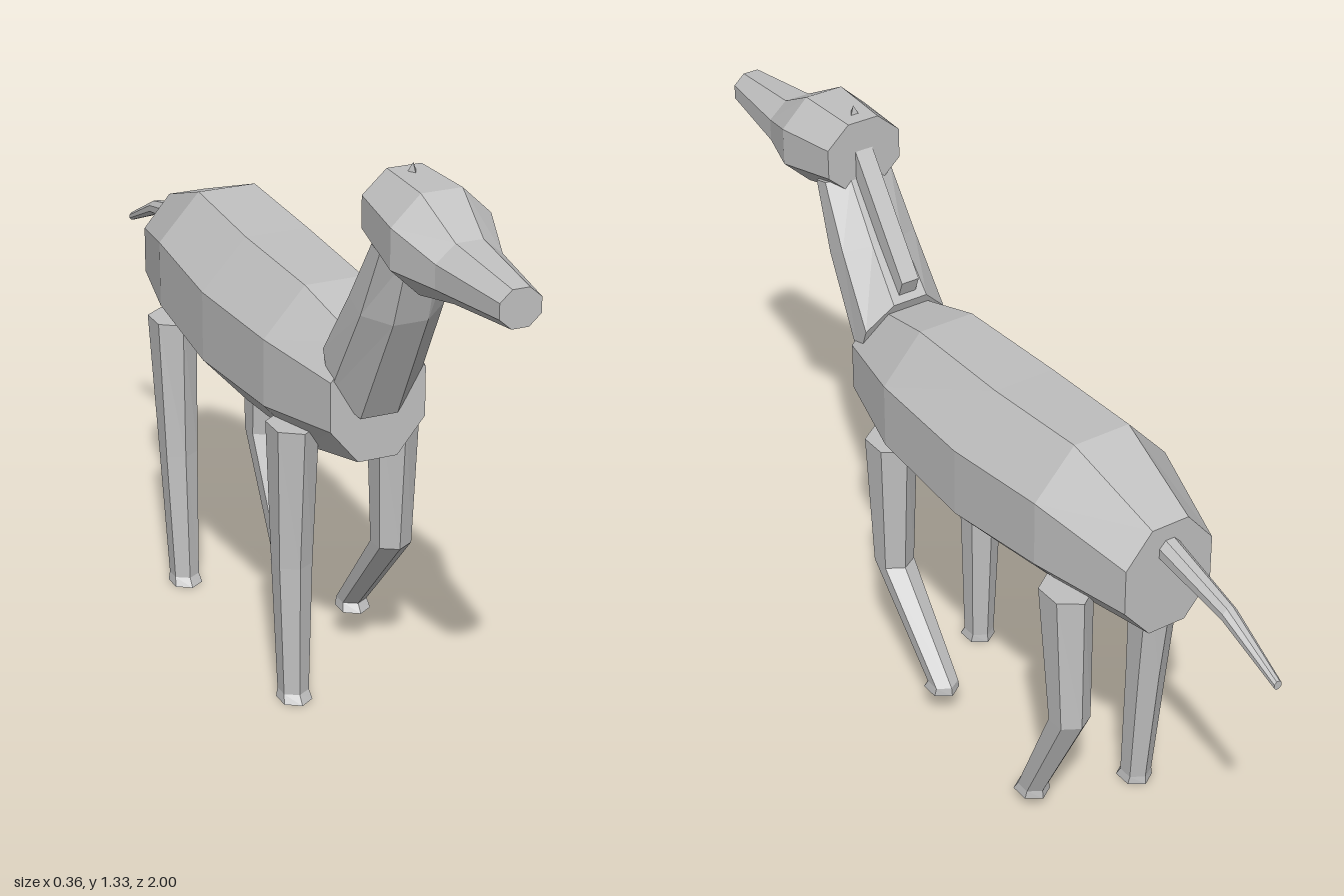
import * as THREE from 'three';

const coat = new THREE.MeshStandardMaterial({ color: 0xc0c0c0, flatShading: true });
coat.name = 'grey coat';

// Skin a list of rings (arrays of Vector3) with flat caps, faces turned outwards
function loft(name, rings) {
  const tris = [];
  const n = rings[0].length;
  for (let r = 0; r < rings.length - 1; r++) {
    for (let i = 0; i < n; i++) {
      const j = (i + 1) % n;
      const a = rings[r][i], b = rings[r][j], c = rings[r + 1][j], d = rings[r + 1][i];
      tris.push([a, b, c], [a, c, d]);
    }
  }
  const first = rings[0], last = rings[rings.length - 1];
  for (let i = 1; i < n - 1; i++) {
    tris.push([first[0], first[i + 1], first[i]], [last[0], last[i], last[i + 1]]);
  }
  // A negative enclosed volume means the winding is inside out
  const cross = new THREE.Vector3();
  let volume = 0;
  for (const [a, b, c] of tris) volume += a.dot(cross.crossVectors(b, c));
  const points = tris.flatMap(([a, b, c]) => (volume < 0 ? [a, c, b] : [a, b, c]));
  const geometry = new THREE.BufferGeometry().setFromPoints(points);
  geometry.computeVertexNormals();
  const mesh = new THREE.Mesh(geometry, coat);
  mesh.name = name;
  return mesh;
}

// Flat-topped octagon: half width w across x, half height along the vector (hy, hz)
function octagon(y, z, w, hy, hz = 0) {
  const k = 1 / Math.cos(Math.PI / 8);
  return Array.from({ length: 8 }, (_, i) => {
    const a = (i + 0.5) * Math.PI / 4;
    const u = Math.cos(a) * k, v = Math.sin(a) * k;
    return new THREE.Vector3(u * w, y + v * hy, z + v * hz);
  });
}

// Level hexagon with a corner facing forwards
function hexagon(x, y, z, w, d) {
  return Array.from({ length: 6 }, (_, i) => {
    const a = i * Math.PI / 3;
    return new THREE.Vector3(x + Math.sin(a) / 0.866 * w, y, z + Math.cos(a) * d);
  });
}

// Leg from hip to knee to ankle, ending in a small flared hoof
function leg(name, x, hipZ, knee, ankle, soleY) {
  return loft(name, [
    hexagon(x, 0.66, hipZ, 0.048, 0.067),
    hexagon(x, knee.y, knee.z, 0.039, 0.046),
    hexagon(x, ankle.y, ankle.z, 0.03, 0.036),
    hexagon(x, soleY, ankle.z + 0.006, 0.034, 0.045),
  ]);
}

export function createModel() {
  const model = new THREE.Group();
  model.name = 'animal';

  // Barrel body: z, bottom, top, half width
  const body = [
    [0.4, 0.625, 0.895, 0.11], [0.18, 0.58, 0.95, 0.165], [-0.12, 0.57, 0.96, 0.18],
    [-0.4, 0.605, 0.975, 0.168], [-0.64, 0.63, 0.89, 0.11],
  ];
  const head = [
    [1, 1.14, 1.22, 0.045], [0.79, 1.118, 1.243, 0.073],
    [0.67, 1.097, 1.308, 0.11], [0.505, 1.14, 1.308, 0.093],
  ];
  const fromProfile = ([z, low, high, w]) => octagon((low + high) / 2, z, w, (high - low) / 2);
  model.add(loft('body', body.map(fromProfile)));
  model.add(loft('head', head.map(fromProfile)));

  // Neck rings lean with the neck
  model.add(loft('neck', [
    octagon(0.83, 0.365, 0.104, 0.105, -0.04),
    octagon(1.015, 0.48, 0.095, 0.03, -0.065),
    octagon(1.16, 0.553, 0.085, 0.012, -0.045),
  ]));

  // Narrow mane along the back of the neck
  const strip = (y, z, w) => [[-w, 0.04, -0.012], [w, 0.04, -0.012], [w, -0.045, 0.02], [-w, -0.045, 0.02]]
    .map(([x, dy, dz]) => new THREE.Vector3(x, y + dy, z + dz));
  model.add(loft('mane', [strip(0.945, 0.335, 0.022), strip(1.2, 0.52, 0.022)]));

  // Little tuft on the crown
  const tuft = new THREE.Mesh(new THREE.ConeGeometry(0.014, 0.025, 3), coat);
  tuft.name = 'tuft';
  tuft.position.set(0, 1.315, 0.545);
  model.add(tuft);

  // Tapering tail
  model.add(loft('tail', [
    octagon(0.83, -0.62, 0.027, 0.028),
    octagon(0.785, -0.84, 0.018, 0.018),
    octagon(0.711, -1, 0.009, 0.01),
  ]));

  // Right legs stand straight, left legs are lifted in stride
  model.add(leg('frontRightLeg', -0.12, 0.228, { y: 0.33, z: 0.225 }, { y: 0.02, z: 0.232 }, 0));
  model.add(leg('hindRightLeg', -0.12, -0.449, { y: 0.33, z: -0.425 }, { y: 0.02, z: -0.4 }, 0));
  model.add(leg('frontLeftLeg', 0.12, 0.228, { y: 0.33, z: 0.225 }, { y: 0.1, z: 0.026 }, 0.08));
  model.add(leg('hindLeftLeg', 0.12, -0.449, { y: 0.325, z: -0.47 }, { y: 0.05, z: -0.338 }, 0.03));

  return model;
}
